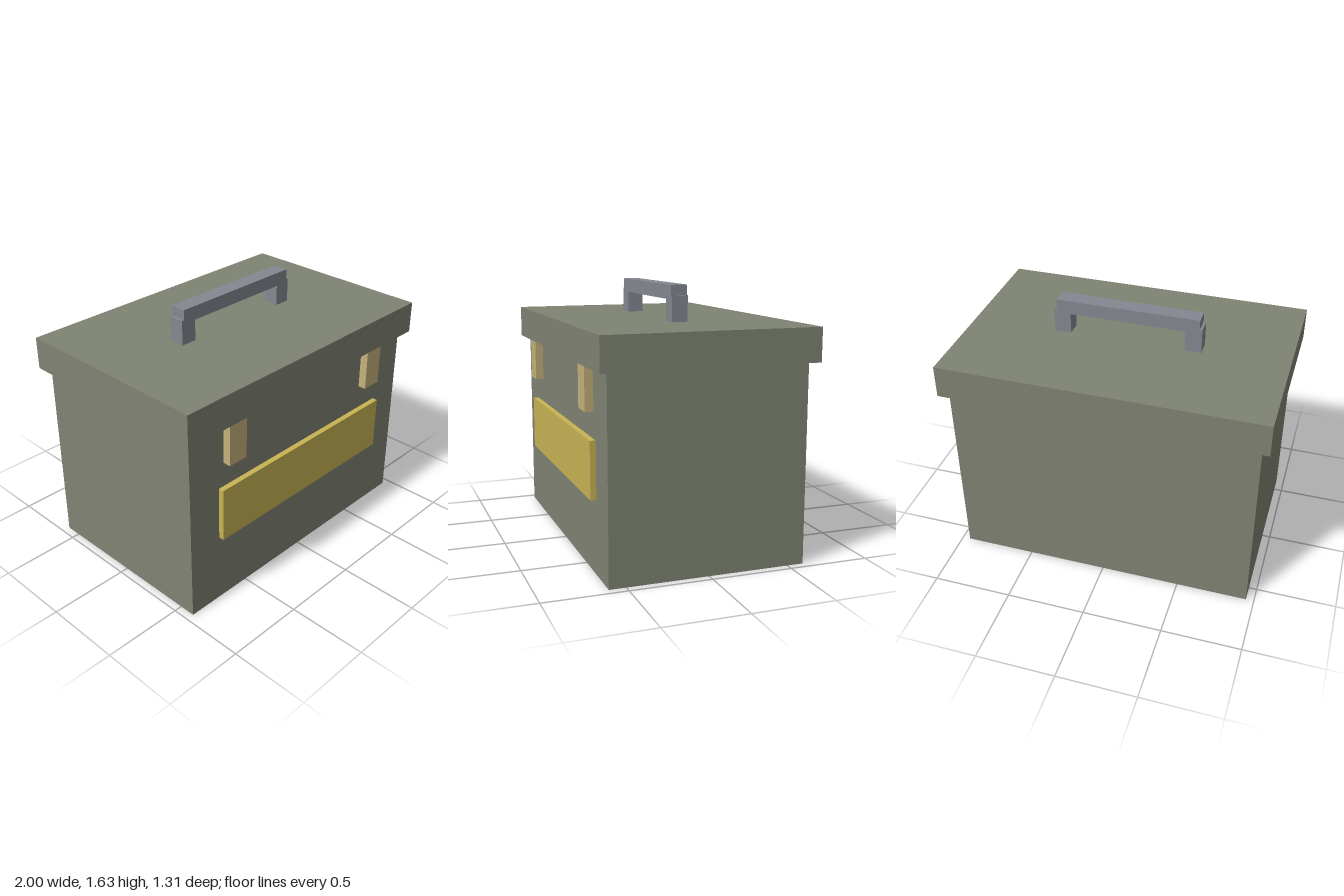
import * as THREE from 'three';

export function createModel() {
  const group = new THREE.Group();
  const mat = (name, color) => Object.assign(new THREE.MeshStandardMaterial({ color }), { name });
  const olive = mat('olive', 0x7f8372);
  const yellow = mat('yellow', 0xc7b353);
  const tan = mat('tan', 0xc5b179);
  const grey = mat('grey', 0x848890);

  // Box given by its extents on each axis
  function box(name, material, [x0, x1], [y0, y1], [z0, z1]) {
    const mesh = new THREE.Mesh(new THREE.BoxGeometry(x1 - x0, y1 - y0, z1 - z0), material);
    mesh.position.set((x0 + x1) / 2, (y0 + y1) / 2, (z0 + z1) / 2);
    mesh.name = name;
    group.add(mesh);
  }

  // Case and overhanging lid
  box('body', olive, [-0.95, 0.95], [0, 1.22], [-0.602, 0.602]);
  box('lid', olive, [-1, 1], [1.21, 1.413], [-0.655, 0.655]);

  // Front plate
  box('frontPlate', yellow, [-0.725, 0.725], [0.45, 0.795], [0.59, 0.637]);

  // Latches tucked under the lid, and handle posts
  for (const [side, s] of [['left', 1], ['right', -1]]) {
    const x = s * 0.62;
    box(side + 'Latch', tan, [x - 0.067, x + 0.067], [0.953, 1.23], [0.59, 0.653]);
    const p = s * 0.412;
    box(side + 'HandlePost', grey, [p - 0.052, p + 0.052], [1.4, 1.57], [-0.05, 0.05]);
  }

  // Handle grip, a hair wider than the posts so the faces do not coincide
  box('handleGrip', grey, [-0.448, 0.448], [1.545, 1.632], [-0.051, 0.051]);

  return group;
}
